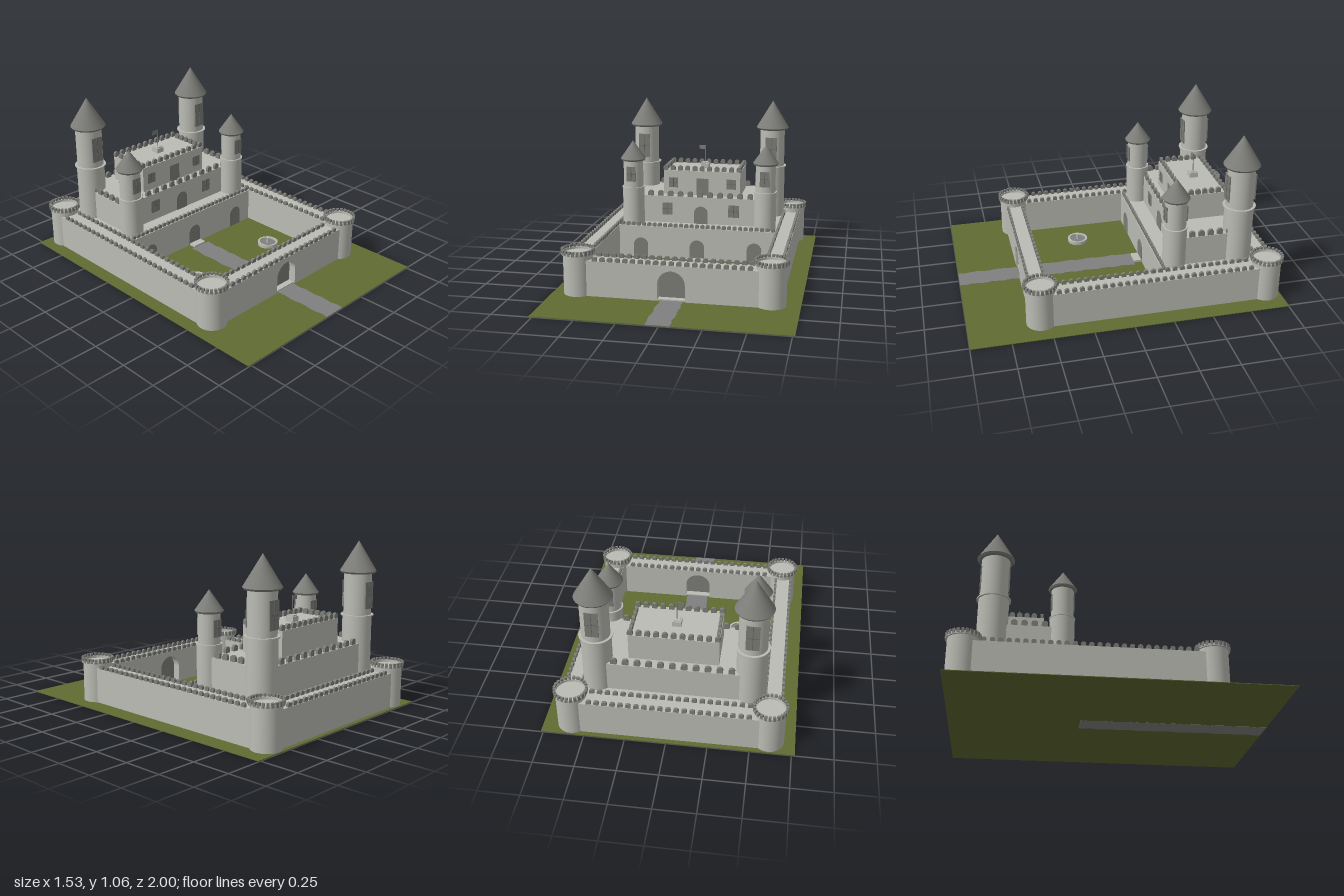
import * as THREE from 'three';
import { mergeGeometries } from 'three/addons/utils/BufferGeometryUtils.js';

const mat = (name, color) => {
  const m = new THREE.MeshStandardMaterial({ color });
  m.name = name;
  return m;
};

export function createModel() {
  const root = new THREE.Group();
  root.name = 'castle';
  const stone = mat('light stone', 0xbbbcb4);
  const slate = mat('dark slate', 0x7d7e79);
  const trim = mat('window bars', 0x676863);
  const grass = mat('grass', 0x606b32);
  const paving = mat('paving', 0x80807f);
  const CX = -0.0125; // middle of the castle

  const add = (name, geo, material, x = 0, y = 0, z = 0, parent = root) => {
    const m = new THREE.Mesh(geo, material);
    m.name = name;
    m.position.set(x, y, z);
    parent.add(m);
    return m;
  };
  // box given by its limits
  const block = (name, x0, x1, y0, y1, z0, z1, material = stone, parent = root) =>
    add(name, new THREE.BoxGeometry(x1 - x0, y1 - y0, z1 - z0), material,
      (x0 + x1) / 2, (y0 + y1) / 2, (z0 + z1) / 2, parent);

  // outline with a round head, standing on y = 0
  const archShape = (w, h, head = w / 2) => {
    const s = new THREE.Shape();
    s.moveTo(-w / 2, 0).lineTo(w / 2, 0).lineTo(w / 2, h - head);
    s.absellipse(0, h - head, w / 2, head, 0, Math.PI, false);
    s.lineTo(-w / 2, 0);
    return s;
  };
  const archGeo = (w, h, d, head, segs = 12) => new THREE.ExtrudeGeometry(archShape(w, h, head),
    { depth: d, bevelEnabled: false, curveSegments: segs }).translate(0, 0, -d / 2);

  // straight row of merlons between two points
  const merlonRow = (name, x0, z0, x1, z1, y, pitch, w, h, d) => {
    const n = Math.max(1, Math.round(Math.hypot(x1 - x0, z1 - z0) / pitch));
    const turn = Math.abs(x1 - x0) > Math.abs(z1 - z0) ? 0 : Math.PI / 2;
    const parts = [];
    for (let i = 0; i <= n; i++) {
      const t = i / n;
      parts.push(archGeo(w, h, d, h * 0.45, 6).rotateY(turn)
        .translate(x0 + (x1 - x0) * t, y, z0 + (z1 - z0) * t));
    }
    add(name, mergeGeometries(parts), slate);
  };
  const merlonRing = (name, x0, x1, z0, z1, y, px, pz, w, h, d) => {
    for (const z of [z0, z1]) merlonRow(name, x0, z, x1, z, y, px, w, h, d);
    for (const x of [x0, x1]) merlonRow(name, x, z0 + pz, x, z1 - pz, y, pz, w, h, d);
  };

  // thin window with crossing bars, on a wall facing +z
  const windowPane = (x, y, z, w, h, dir = 1) => {
    const g = new THREE.Group();
    g.name = 'window';
    g.position.set(x, y, z);
    add('pane', new THREE.BoxGeometry(w, h, 0.008), slate, 0, 0, 0, g);
    add('upright bar', new THREE.BoxGeometry(0.004, h, 0.004), trim, 0, 0, dir * 0.004, g);
    add('cross bar', new THREE.BoxGeometry(w, 0.004, 0.004), trim, 0, 0, dir * 0.004, g);
    root.add(g);
  };

  // ground and worn path
  block('ground', -0.77, 0.765, 0.001, 0.005, -1, 1, grass);
  const path = new THREE.Shape();
  const steps = 28;
  for (let i = 0; i <= steps; i++) {
    const z = 1 - (1.18 * i) / steps;
    path[i ? 'lineTo' : 'moveTo'](0.063 + 0.005 * Math.sin(i * 2.1), -z);
  }
  for (let i = steps; i >= 0; i--) path.lineTo(-0.083 + 0.005 * Math.sin(i * 1.7), -(1 - (1.18 * i) / steps));
  add('path', new THREE.ExtrudeGeometry(path, { depth: 0.007, bevelEnabled: false }).rotateX(-Math.PI / 2), paving);

  // outer walls
  const H = 0.23;
  block('left wall', 0.53, 0.648, 0.002, H, -0.9, 0.55);
  block('right wall', -0.683, -0.563, 0.002, H, -0.9, 0.55);
  block('back wall', -0.61, 0.585, 0.002, H, -0.97, -0.855);

  // front wall with the gateway cut through
  const wall = new THREE.Shape();
  wall.moveTo(-0.6, 0).lineTo(-0.085, 0).lineTo(-0.085, 0.11);
  wall.absarc(0, 0.11, 0.085, Math.PI, 0, true);
  wall.lineTo(0.085, 0).lineTo(0.6, 0).lineTo(0.6, H).lineTo(-0.6, H);
  add('front wall', new THREE.ExtrudeGeometry(wall, { depth: 0.118, bevelEnabled: false, curveSegments: 20 }),
    stone, CX, 0.002, 0.491).scale.y = (H - 0.002) / H;
  add('gate', archGeo(0.17, 0.192, 0.02), slate, CX, 0.003, 0.55);
  block('gate threshold', CX - 0.085, CX + 0.085, 0.002, 0.014, 0.5, 0.6);

  // merlons on both edges of each outer wall
  for (const x of [-0.675, -0.573, 0.54, 0.638]) merlonRow('wall merlons', x, -0.78, x, 0.44, H, 0.0475, 0.029, 0.026, 0.016);
  for (const z of [-0.96, -0.863, 0.5, 0.6]) merlonRow('wall merlons', -0.49, z, 0.465, z, H, 0.0475, 0.031, 0.026, 0.016);

  // squat corner towers
  for (const x of [-0.611, 0.586]) for (const z of [-0.9, 0.548]) {
    const t = new THREE.Group();
    t.name = 'cornerTower';
    t.position.set(x, 0, z);
    root.add(t);
    add('body', new THREE.CylinderGeometry(0.092, 0.092, 0.258, 40), stone, 0, 0.131, 0, t);
    const ring = [[0.088, 0.258], [0.103, 0.258], [0.103, 0.275], [0.088, 0.275], [0.088, 0.258]];
    const pts = ring.flatMap((p, i) => (i && i < 4 ? [p, p] : [p])).map(p => new THREE.Vector2(...p));
    add('parapet', new THREE.LatheGeometry(pts, 40), stone, 0, 0, 0, t);
    const teeth = [];
    for (let i = 0; i < 24; i++) {
      teeth.push(new THREE.BoxGeometry(0.017, 0.029, 0.015).translate(0, 0.277, 0.097).rotateY((i / 24) * Math.PI * 2));
    }
    add('tower merlons', mergeGeometries(teeth), slate, 0, 0, 0, t);
  }

  // stepped keep
  block('terrace', -0.563, 0.53, 0.002, H, -0.855, -0.235);
  merlonRow('terrace merlons', -0.54, -0.248, 0.51, -0.248, H, 0.038, 0.026, 0.025, 0.016);
  block('middle tier', -0.52, 0.488, H, 0.42, -0.81, -0.365);
  merlonRing('middle merlons', -0.509, 0.477, -0.797, -0.375, 0.42, 0.07, 0.06, 0.038, 0.038, 0.018);
  block('upper tier', -0.287, 0.257, 0.42, 0.592, -0.737, -0.433);
  merlonRing('upper merlons', -0.275, 0.245, -0.725, -0.447, 0.592, 0.05, 0.048, 0.033, 0.034, 0.018);

  // doors and windows of the keep
  for (const x of [-0.41, CX, 0.385]) add('terrace door', archGeo(0.1, 0.14, 0.008), slate, x, 0.006, -0.235);
  block('door step', -0.06, 0.038, 0.002, 0.02, -0.236, -0.18);
  add('middle door', archGeo(0.096, 0.125, 0.008), slate, CX + 0.004, H, -0.365);
  block('upper door', -0.053, 0.033, 0.42, 0.54, -0.437, -0.429, slate);
  for (const s of [-1, 1]) {
    windowPane(CX + s * 0.235, 0.33, -0.365, 0.074, 0.086);
    windowPane(CX + 0.001 + s * 0.206, 0.506, -0.433, 0.066, 0.07);
  }

  // flag on its plinth
  block('flag plinth', -0.045, 0.011, 0.592, 0.625, -0.618, -0.562);
  block('flag plinth cap', -0.037, 0.003, 0.625, 0.632, -0.61, -0.57);
  add('flag pole', new THREE.CylinderGeometry(0.003, 0.003, 0.125, 10), slate, -0.017, 0.69, -0.59);
  block('flag', -0.06, -0.017, 0.724, 0.75, -0.592, -0.588, slate);

  // round towers with cone roofs
  const tower = (x, z, r, ru, yRing, yRoof, yTop, rRoof, win) => {
    const t = new THREE.Group();
    t.name = 'roundTower';
    t.position.set(x, 0, z);
    root.add(t);
    add('lower shaft', new THREE.CylinderGeometry(r, r, yRing - 0.2, 40), stone, 0, (yRing + 0.2) / 2, 0, t);
    add('upper shaft', new THREE.CylinderGeometry(ru, ru, yRoof - yRing, 40), stone, 0, (yRing + yRoof) / 2, 0, t);
    add('ledge', new THREE.CylinderGeometry(win.ledge, win.ledge, 0.008, 40), stone, 0, yRing, 0, t);
    add('eaves', new THREE.CylinderGeometry(rRoof, rRoof * 0.93, 0.012, 40), slate, 0, yRoof, 0, t);
    const h = yTop - yRoof - 0.006;
    add('roof', new THREE.ConeGeometry(rRoof, h, 40), slate, 0, yRoof + 0.006 + h / 2, 0, t);
    // front and back windows
    for (const s of [-1, 1]) windowPane(x, win.y, z + s * (ru - 0.002), win.w, win.h, s);
  };
  for (const x of [-0.482, 0.445]) {
    tower(x, -0.745, 0.092, 0.087, 0.592, 0.866, 1.062, 0.115, { y: 0.722, w: 0.08, h: 0.17, ledge: 0.103 });
    tower(x, -0.332, 0.075, 0.068, 0.488, 0.684, 0.815, 0.087, { y: 0.588, w: 0.064, h: 0.104, ledge: 0.079 });
  }

  // courtyard fountains
  for (const x of [-0.345, 0.337]) {
    const f = new THREE.Group();
    f.name = 'fountain';
    f.position.set(x, 0, 0.135);
    root.add(f);
    const rim = [[0.056, 0.004], [0.07, 0.004], [0.07, 0.028], [0.056, 0.028], [0.056, 0.004]];
    const pts = rim.flatMap((p, i) => (i && i < 4 ? [p, p] : [p])).map(p => new THREE.Vector2(...p));
    add('basin rim', new THREE.LatheGeometry(pts, 12), stone, 0, 0, 0, f);
    add('water', new THREE.CylinderGeometry(0.058, 0.058, 0.014, 24), paving, 0, 0.011, 0, f);
    add('column', new THREE.CylinderGeometry(0.006, 0.009, 0.04, 12), stone, 0, 0.036, 0, f);
    add('bowl', new THREE.CylinderGeometry(0.014, 0.006, 0.008, 12), stone, 0, 0.056, 0, f);
  }
  return root;
}
